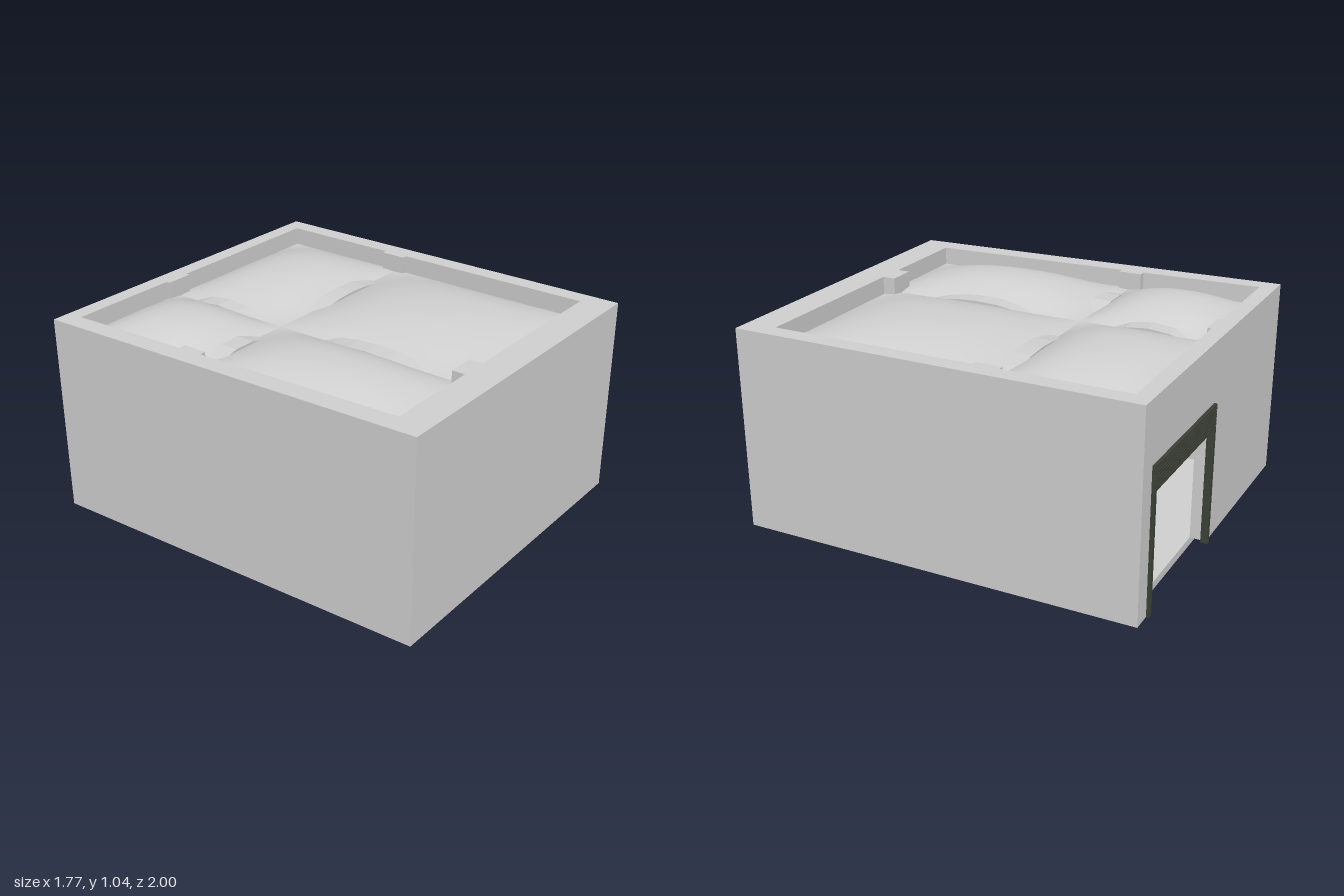
import * as THREE from 'three';

const plaster = new THREE.MeshStandardMaterial({ color: 0xd0d0d0, side: THREE.DoubleSide });
plaster.name = 'pale plaster';
const darkMetal = new THREE.MeshStandardMaterial({ color: 0x3c4238 });
darkMetal.name = 'dark green metal';

const CX = -0.155, CZ = -0.23;          // central pillar
const BASE = 0.04, TOP = 1.035, DOOR_TOP = 0.74;
const DOOR_X0 = 0.05, DOOR_X1 = 0.79;
const BACK = -0.985, INNER_BACK = -0.905;

// plan outlines as [x, z]
const outer = [[-0.89, BACK], [-0.815, 1], [0.885, 1], [0.885, BACK]];
const inner = [
  [0.795, INNER_BACK], [0.795, -0.3], [0.77, -0.3], [0.77, -0.17], [0.795, -0.17],
  [0.795, 0.845], [-0.09, 0.845], [-0.09, 0.78], [-0.23, 0.78], [-0.23, 0.845], [-0.715, 0.845],
  [-0.762, -0.18], [-0.73, -0.18], [-0.73, -0.3], [-0.767, -0.3],
  [-0.795, INNER_BACK], [-0.23, INNER_BACK], [-0.23, -0.885], [-0.09, -0.885], [-0.09, INNER_BACK],
];

const toVectors = (plan) => plan.map(([x, z]) => new THREE.Vector2(x, -z));

function addMesh(group, name, geometry, material) {
  const mesh = new THREE.Mesh(geometry, material);
  mesh.name = name;
  group.add(mesh);
  return mesh;
}

// upright prism over a plan outline
function prism(plan, y0, y1, hole) {
  const shape = new THREE.Shape(toVectors(plan));
  if (hole) shape.holes.push(new THREE.Path(toVectors(hole)));
  return new THREE.ExtrudeGeometry(shape, { depth: y1 - y0, bevelEnabled: false })
    .rotateX(-Math.PI / 2).translate(0, y0, 0);
}

function box(x0, x1, y0, y1, z0, z1) {
  return new THREE.BoxGeometry(x1 - x0, y1 - y0, z1 - z0)
    .translate((x0 + x1) / 2, (y0 + y1) / 2, (z0 + z1) / 2);
}

// shallow domed bay: flat along its edges, highest in the middle
function vault(xAt0, xAt1, z0, z1) {
  const geometry = new THREE.PlaneGeometry(2, 2, 28, 28);
  const p = geometry.attributes.position;
  for (let i = 0; i < p.count; i++) {
    const u = p.getX(i), v = -p.getY(i);
    const z = THREE.MathUtils.lerp(z0, z1, (v + 1) / 2);
    const x = THREE.MathUtils.lerp(xAt0(z), xAt1(z), (u + 1) / 2);
    const rise = (1 - Math.abs(u) ** 2.3) * (1 - Math.abs(v) ** 2.3);
    p.setXYZ(i, x, 0.945 + 0.097 * rise, z);
  }
  geometry.computeVertexNormals();
  return geometry;
}

// half ellipse of points from right to left
function ellipse(mid, half, rise, springing, n) {
  return Array.from({ length: n + 1 }, (_, i) => {
    const a = (i / n) * Math.PI;
    return new THREE.Vector2(mid + half * Math.cos(a), springing + rise * Math.sin(a));
  });
}

// stone arch between a and b, with the wall filling above its haunches
function arch(name, a, b, alongZ) {
  const group = new THREE.Group();
  group.name = name;
  const mid = (a + b) / 2, half = (b - a) / 2, springing = 0.74, thick = 0.07;
  const n = Math.max(9, Math.round(half * 2 / 0.06));
  const under = ellipse(mid, half, 0.17, springing, n);
  const over = ellipse(mid, half + thick, 0.17 + thick, springing, n);
  const place = (points, width) => {
    const g = new THREE.ExtrudeGeometry(new THREE.Shape(points), { depth: width, bevelEnabled: false })
      .translate(0, 0, -width / 2);
    return alongZ ? g.rotateY(-Math.PI / 2).translate(CX, 0, 0) : g.translate(0, 0, CZ + 0.005);
  };
  for (let i = 0; i < n; i++) {
    addMesh(group, 'voussoir', place([under[i], over[i], over[i + 1], under[i + 1]], 0.095), plaster);
  }
  const spandrel = [...under, new THREE.Vector2(a, 0.942), new THREE.Vector2(b, 0.942)];
  addMesh(group, 'spandrel', place(spandrel, 0.06), plaster);
  return group;
}

export function createModel() {
  const model = new THREE.Group();
  model.name = 'vaultedRoom';

  // floor and walls, the lower walls open at the doorway
  addMesh(model, 'floor', prism(inner, 0, BASE), plaster);
  const lower = [
    [DOOR_X0, BACK], ...outer, [DOOR_X1, BACK], [DOOR_X1, INNER_BACK],
    ...inner, [DOOR_X0, INNER_BACK],
  ];
  addMesh(model, 'lowerWalls', prism(lower, BASE, DOOR_TOP), plaster);
  addMesh(model, 'upperWalls', prism(outer, DOOR_TOP, TOP, inner), plaster);

  // central pillar
  addMesh(model, 'pillar', box(CX - 0.065, CX + 0.065, BASE, 0.942, CZ - 0.065, CZ + 0.065), plaster);

  // four arches from the pillar to the wall piers
  model.add(
    arch('leftArch', CX + 0.065, 0.77, false),
    arch('rightArch', -0.73, CX - 0.065, false),
    arch('frontArch', CZ + 0.065, 0.78, true),
    arch('backArch', -0.885, CZ - 0.065, true),
  );

  // four vaulted bays, the right ones following the slanted wall
  const slanted = (z) => -0.795 + ((z - INNER_BACK) / 1.75) * 0.08;
  const middle = () => CX;
  const straight = () => 0.795;
  for (const [end, z0, z1] of [['back', INNER_BACK, CZ], ['front', CZ, 0.845]]) {
    addMesh(model, end + 'RightVault', vault(slanted, middle, z0, z1), plaster);
    addMesh(model, end + 'LeftVault', vault(middle, straight, z0, z1), plaster);
  }

  // door frame with a ribbed shutter rolled up at its head
  const door = new THREE.Group();
  door.name = 'doorFrame';
  const head = 0.62, front = -0.997, rear = -0.965;
  addMesh(door, 'shutterBack', box(DOOR_X0, DOOR_X1, head, DOOR_TOP, front + 0.003, rear), darkMetal);
  const slats = 8, pitch = (DOOR_TOP - head) / slats;
  for (let i = 0; i < slats; i++) {
    const y = head + i * pitch;
    addMesh(door, 'shutterSlat', box(DOOR_X0, DOOR_X1, y + 0.002, y + pitch - 0.002, -1, front + 0.004), darkMetal);
  }
  for (const x of [DOOR_X0, DOOR_X1 - 0.022]) {
    addMesh(door, 'doorPost', box(x, x + 0.022, BASE, head, -1, rear), darkMetal);
  }
  model.add(door);

  return model;
}
